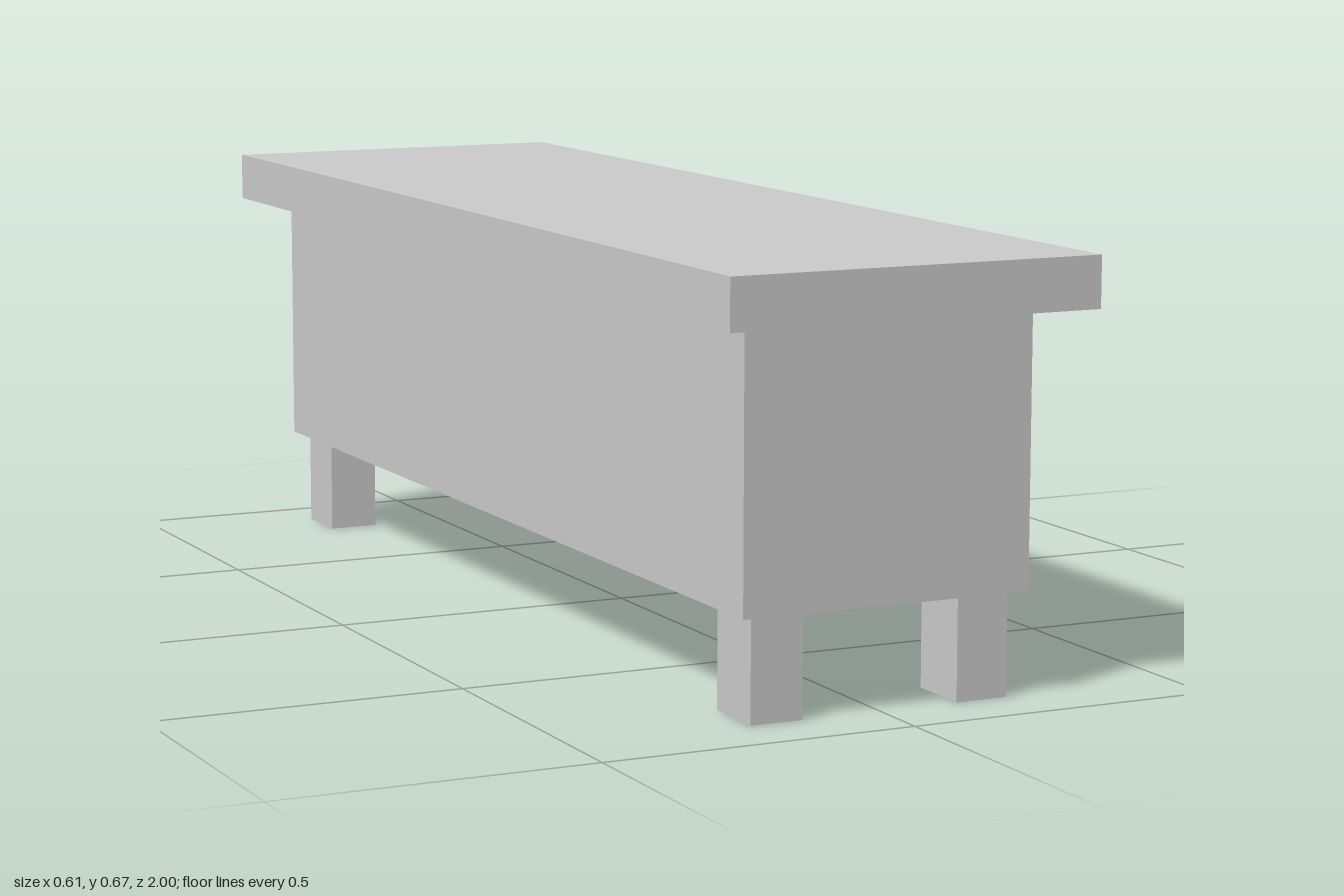
import * as THREE from 'three';

const material = new THREE.MeshStandardMaterial({ color: 0xcccccc, flatShading: true });

const BASE = 0.163;        // underside of the body
const BODY_TOP = 0.593;
const TOP = 0.673;
const BODY_X = 0.238;      // half width of the body
const BODY_Z = 0.917;      // half length of the body
const BACK = 0.065;        // thickness of the panel closing the recess

// Outline of the recess: up one side, over the softened corners, down the other
const half = 0.43, recessTop = 0.465, r = 0.01;
const recess = [
  [-half, BASE], [-half, recessTop - r], [-half + 0.3 * r, recessTop - 0.3 * r], [-half + r, recessTop],
  [half - r, recessTop], [half - 0.3 * r, recessTop - 0.3 * r], [half, recessTop - r], [half, BASE],
].map(([x, y]) => new THREE.Vector2(x, y));

function addMesh(parent, name, geometry) {
  const mesh = new THREE.Mesh(geometry, material);
  mesh.name = name;
  parent.add(mesh);
  return mesh;
}

function addBox(parent, name, size, position) {
  addMesh(parent, name, new THREE.BoxGeometry(...size)).position.set(...position);
}

// Extrudes a lengthwise outline across the width, from x0 to x1
function acrossWidth(points, x0, x1) {
  return new THREE.ExtrudeGeometry(new THREE.Shape(points), { depth: x1 - x0, bevelEnabled: false })
    .rotateY(Math.PI / 2)
    .translate(x0, 0, 0);
}

export function createModel() {
  const bench = new THREE.Group();
  bench.name = 'bench';

  // Overhanging slab
  addBox(bench, 'top', [0.606, TOP - BODY_TOP, 2], [0, (TOP + BODY_TOP) / 2, 0]);

  // Body with the recess cut up from below
  const outline = [
    new THREE.Vector2(-BODY_Z, BASE), ...recess,
    new THREE.Vector2(BODY_Z, BASE),
    new THREE.Vector2(BODY_Z, BODY_TOP),
    new THREE.Vector2(-BODY_Z, BODY_TOP),
  ];
  addMesh(bench, 'body', acrossWidth(outline, -BODY_X, BODY_X));

  // Panel closing the recess on the right-hand side (-x)
  addMesh(bench, 'recessPanel', acrossWidth(recess, -BODY_X, -BODY_X + BACK));

  // Four square legs
  for (const [zName, sz] of [['front', 1], ['back', -1]]) {
    for (const [xName, sx] of [['Left', 1], ['Right', -1]]) {
      addBox(bench, `${zName}${xName}Leg`, [0.085, BASE, 0.108], [sx * 0.172, BASE / 2, sz * 0.842]);
    }
  }
  return bench;
}
